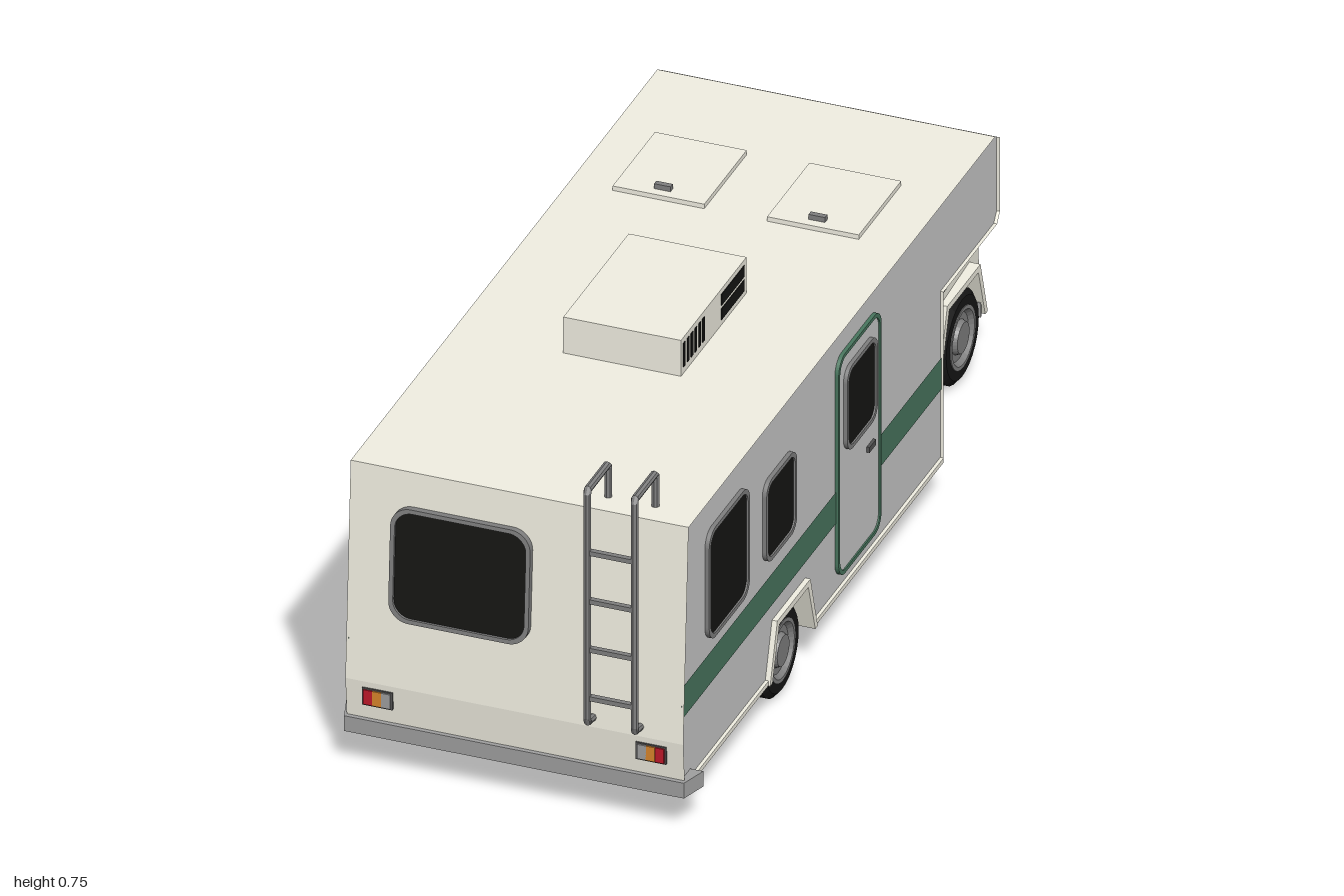
import * as THREE from 'three';

const mat = (color) => new THREE.MeshStandardMaterial({ color, side: THREE.DoubleSide, flatShading: true });
const M = {
  grey: mat(0xcccccc), cream: mat(0xf3f1e4), green: mat(0x49775f), glass: mat(0x161614), tyre: mat(0x161616),
  metal: mat(0x808080), dark: mat(0x555555), chrome: mat(0xa0a0a0), red: mat(0xc0182a), orange: mat(0xd9862b), tan: mat(0xcfae78),
};

const named = (obj, name, parent) => { obj.name = name; parent.add(obj); return obj; };
const mesh = (geo, m, name, parent) => named(new THREE.Mesh(geo, m), name, parent);

function box(name, parent, m, x0, x1, y0, y1, z0, z1) {
  const b = mesh(new THREE.BoxGeometry(Math.abs(x1 - x0), Math.abs(y1 - y0), Math.abs(z1 - z0)), m, name, parent);
  b.position.set((x0 + x1) / 2, (y0 + y1) / 2, (z0 + z1) / 2);
  return b;
}

const poly = (pts) => new THREE.Shape(pts.map(([a, b]) => new THREE.Vector2(a, b)));

// Flat convex panel from 3D corners
function panel(name, parent, m, pts) {
  const pos = [];
  for (let i = 1; i < pts.length - 1; i++) pos.push(...pts[0], ...pts[i], ...pts[i + 1]);
  const g = new THREE.BufferGeometry();
  g.setAttribute('position', new THREE.Float32BufferAttribute(pos, 3));
  g.computeVertexNormals();
  return mesh(g, m, name, parent);
}

// Outline drawn in (z, y), stood up at a given x; x may vary by a rule
function sideSheet(name, parent, m, pts, xRule) {
  const g = new THREE.ShapeGeometry(poly(pts));
  const p = g.attributes.position;
  for (let i = 0; i < p.count; i++) p.setXYZ(i, xRule(p.getX(i), p.getY(i)), p.getY(i), p.getX(i));
  g.computeVertexNormals();
  return mesh(g, m, name, parent);
}

function roundRect(w, h, r, C = THREE.Shape) {
  const s = new C(), a = w / 2, b = h / 2, q = Math.PI / 2;
  s.absarc(a - r, b - r, r, 0, q);
  s.absarc(-a + r, b - r, r, q, 2 * q);
  s.absarc(-a + r, -b + r, r, 2 * q, 3 * q);
  s.absarc(a - r, -b + r, r, 3 * q, 4 * q);
  s.closePath();
  return s;
}

// Rounded frame with a filled centre, facing +z
function framed(name, parent, w, h, r, frameMat, fillMat, edge = 0.009, depth = 0.009) {
  const g = named(new THREE.Group(), name, parent);
  const ring = roundRect(w, h, r);
  ring.holes.push(roundRect(w - 2 * edge, h - 2 * edge, r - edge * 0.6, THREE.Path));
  const opt = { depth, bevelEnabled: false, curveSegments: 6 };
  mesh(new THREE.ExtrudeGeometry(ring, opt), frameMat, 'frame', g);
  const fill = roundRect(w - 2 * edge, h - 2 * edge, r - edge * 0.6);
  mesh(new THREE.ExtrudeGeometry(fill, { ...opt, depth: depth * 0.6 }), fillMat, 'infill', g);
  return g;
}

function sideFramed(name, parent, s, x, z0, z1, y0, y1, r, frameMat, fillMat, edge, depth) {
  const g = framed(name, parent, z1 - z0, y1 - y0, r, frameMat, fillMat, edge, depth);
  g.rotation.y = s * Math.PI / 2;
  g.position.set(s * x, (y0 + y1) / 2, (z0 + z1) / 2);
}

const REAR = 0.395, FRONT = -0.845, WALL = 0.343;
// Wheel opening outline, from high z to low z
const notch = (z, b = 0.125, t = 0.087, y = 0.215) => [[z + b, 0.09], [z + t, y], [z - t, y], [z - b, 0.09]];

function wheel(parent, s, z, x0, x1) {
  const g = named(new THREE.Group(), 'wheel', parent);
  const w = x1 - x0, h = w / 2, R = 0.0975;
  const lathe = (pts) => new THREE.LatheGeometry(pts.map(([r, y]) => new THREE.Vector2(r, y)), 28);
  mesh(lathe([[0.06, -h], [R - 0.012, -h], [R, -h + 0.01], [R, h - 0.01], [R - 0.012, h], [0.066, h], [0.064, h - 0.01]]), M.tyre, 'tyre', g);
  mesh(lathe([[0, -h + 0.01], [0.06, -h + 0.01], [0.06, -h]]), M.dark, 'innerRim', g);
  mesh(lathe([[0.066, h - 0.01], [0.066, h + 0.002], [0.058, h + 0.002], [0.05, h - 0.008], [0.036, h - 0.008], [0.032, h + 0.002], [0, h + 0.002]]), M.metal, 'hub', g);
  g.rotation.z = -s * Math.PI / 2;
  g.position.set(s * (x0 + x1) / 2, R, z);
}

function wheelArch(parent, s, z, x0, x1) {
  const inner = notch(z, 0.112, 0.076, 0.202);
  const g = new THREE.ExtrudeGeometry(poly([...notch(z), ...inner.slice().reverse()]), { depth: x1 - x0, bevelEnabled: false });
  g.rotateY(-Math.PI / 2);
  mesh(g, M.cream, 'wheelArch', parent).position.x = s > 0 ? x1 : -x0;
  sideSheet('wheelWell', parent, M.cream, notch(z), () => s * x0);
}

// Bumper bar with swept ends
function bumper(name, parent, xa, za, xb, zb, y0, y1) {
  const g = new THREE.ExtrudeGeometry(poly([[-xa, -za], [xa, -za], [xb, -zb], [-xb, -zb]]), { depth: y1 - y0, bevelEnabled: false });
  g.rotateX(-Math.PI / 2);
  mesh(g, M.chrome, name, parent).position.y = y0;
}

function buildBody(root) {
  const g = named(new THREE.Group(), 'livingBody', root);
  const outline = [[0.955, 0.09], [0.965, 0.2], [0.937, 0.67], [-0.67, 0.67], [-0.695, 0.655], [-0.695, 0.49], [-0.68, 0.47], [-0.4, 0.47], [-0.4, 0.09]];
  // Roof, rear, overhang and front wall as one wrapped shell, open underneath
  for (let i = 0; i < outline.length - 1; i++) {
    const [z0, y0] = outline[i], [z1, y1] = outline[i + 1];
    panel('shellPanel', g, M.cream, [[-0.35, y0, z0], [0.35, y0, z0], [0.35, y1, z1], [-0.35, y1, z1]]);
  }
  for (const s of [1, -1]) {
    sideSheet('sideWall', g, M.grey, [...outline, ...notch(REAR).reverse()], () => s * WALL);
    sideSheet('stripe', g, M.green, [[0.958, 0.322], [0.962, 0.252], [-0.4, 0.252], [-0.4, 0.322]], () => s * (WALL + 0.002));
    box('sillTrim', g, M.cream, s * WALL, s * 0.35, 0.09, 0.1, REAR + 0.12, 0.955);
    box('sillTrim', g, M.cream, s * WALL, s * 0.35, 0.09, 0.1, -0.4, REAR - 0.12);
    wheelArch(g, s, REAR, 0.235, 0.354);
    wheel(root, s, REAR, 0.25, 0.33);
  }
  // Side windows and entry door
  sideFramed('sideWindow', g, 1, WALL, 0.62, 0.834, 0.353, 0.598, 0.035, M.metal, M.glass);
  sideFramed('sideWindow', g, 1, WALL, 0.373, 0.533, 0.363, 0.545, 0.03, M.metal, M.glass);
  sideFramed('sideWindow', g, -1, WALL, -0.275, -0.11, 0.385, 0.575, 0.03, M.metal, M.glass);
  sideFramed('entryDoor', g, 1, WALL, -0.072, 0.153, 0.125, 0.615, 0.035, M.green, M.grey, 0.008, 0.008);
  sideFramed('doorWindow', g, 1, WALL + 0.004, -0.04, 0.12, 0.39, 0.577, 0.03, M.metal, M.glass);
  box('doorHandle', g, M.dark, 0.346, 0.354, 0.328, 0.34, -0.036, -0.002);
  // Rear and overhang windows
  const rear = framed('rearWindow', g, 0.29, 0.247, 0.042, M.metal, M.glass, 0.009, 0.014);
  rear.position.set(-0.115, 0.473, 0.949);
  rear.rotation.x = -0.06;
  const front = framed('overhangWindow', g, 0.3, 0.085, 0.02, M.metal, M.glass);
  front.position.set(0, 0.57, -0.695);
  front.rotation.y = Math.PI;
  // Tail lights
  for (const s of [1, -1]) {
    const t = named(new THREE.Group(), 'tailLight', g);
    box('housing', t, M.dark, s * 0.252, s * 0.315, 0.149, 0.187, 0.945, 0.967);
    [[0.256, M.chrome], [0.274, M.orange], [0.293, M.red]].forEach(([x, m]) => box('lens', t, m, s * x, s * (x + 0.0185), 0.152, 0.184, 0.95, 0.97));
  }
  bumper('rearBumper', g, 0.352, 0.967, 0.37, 0.91, 0.082, 0.116);
}

function buildRoof(root) {
  const ac = named(new THREE.Group(), 'airConditioner', root);
  box('housing', ac, M.cream, -0.12, 0.124, 0.67, 0.75, 0.062, 0.405);
  for (let i = 0; i < 6; i++) box('ventSlot', ac, M.glass, 0.12, 0.1255, 0.685, 0.738, 0.284 + i * 0.02, 0.294 + i * 0.02);
  for (const y of [0.682, 0.714]) box('grilleSlot', ac, M.glass, 0.12, 0.1255, y, y + 0.025, 0.075, 0.195);
  for (const [x0, x1] of [[-0.26, -0.07], [0.06, 0.25]]) {
    box('roofHatch', root, M.cream, x0, x1, 0.67, 0.68, -0.43, -0.208);
    const c = (x0 + x1) / 2;
    box('hatchHandle', root, M.metal, c - 0.017, c + 0.017, 0.68, 0.691, -0.24, -0.228);
  }
  // Ladder with rails hooked over the roof edge
  const ladder = named(new THREE.Group(), 'ladder', root);
  for (const x of [0.162, 0.26]) {
    const pts = [[0.22, 0.955], [0.226, 0.992], [0.743, 0.992], [0.743, 0.883], [0.665, 0.883]].map(([y, z]) => new THREE.Vector3(x, y, z));
    const path = new THREE.CurvePath();
    for (let i = 0; i < pts.length - 1; i++) path.add(new THREE.LineCurve3(pts[i], pts[i + 1]));
    mesh(new THREE.TubeGeometry(path, 80, 0.008, 8), M.metal, 'rail', ladder);
  }
  for (const y of [0.281, 0.389, 0.497, 0.605]) box('rung', ladder, M.metal, 0.162, 0.26, y - 0.005, y + 0.005, 0.986, 0.997);
}

function buildCab(root) {
  const g = named(new THREE.Group(), 'cab', root);
  // Half width: narrows toward the nose and toward the roof
  const half = (z, y) => 0.205 - 0.05 * Math.max(0, -0.69 - z) - 0.14 * Math.max(0, y - 0.28);
  for (const s of [1, -1]) {
    const at = (off) => (z, y) => s * (half(z, y) + off);
    sideSheet('lowerSide', g, M.cream, [[-0.4, 0.09], [-0.4, 0.28], [-0.69, 0.28], [-0.69, 0.265], [-0.985, 0.225], [-0.99, 0.17], [-0.98, 0.09], ...notch(FRONT).reverse()], at(0));
    sideSheet('upperSide', g, M.cream, [[-0.4, 0.28], [-0.4, 0.47], [-0.605, 0.47], [-0.69, 0.28]], at(0));
    sideSheet('cabWindow', g, M.glass, [[-0.415, 0.292], [-0.415, 0.46], [-0.598, 0.46], [-0.674, 0.292]], at(0.003));
    box('cabDoorHandle', g, M.dark, s * 0.203, s * 0.211, 0.239, 0.25, -0.468, -0.438);
    // Hood outer slope
    panel('fenderTop', g, M.cream, [[s * 0.205, 0.265, -0.69], [s * 0.1, 0.283, -0.69], [s * 0.14, 0.238, -0.985], [s * 0.19, 0.225, -0.985]]);
    wheelArch(g, s, FRONT, 0.125, 0.216);
    wheel(root, s, FRONT, 0.135, 0.213);
    box('mirror', g, M.glass, s * 0.222, s * 0.25, 0.31, 0.375, -0.668, -0.65);
    box('mirrorArm', g, M.dark, s * 0.195, s * 0.225, 0.318, 0.326, -0.663, -0.655);
    // Headlight and turn signal
    box('headlightFrame', g, M.dark, s * 0.115, s * 0.188, 0.142, 0.208, -0.98, -0.992);
    box('headlight', g, M.chrome, s * 0.119, s * 0.162, 0.147, 0.203, -0.985, -0.995);
    box('turnSignal', g, M.orange, s * 0.165, s * 0.185, 0.147, 0.203, -0.985, -0.995);
  }
  panel('hood', g, M.cream, [[-0.1, 0.283, -0.69], [0.1, 0.283, -0.69], [0.14, 0.238, -0.985], [-0.14, 0.238, -0.985]]);
  panel('nose', g, M.cream, [[-0.19, 0.225, -0.985], [-0.14, 0.238, -0.985], [0.14, 0.238, -0.985], [0.19, 0.225, -0.985], [0.19, 0.17, -0.99], [-0.19, 0.17, -0.99]]);
  panel('noseLower', g, M.cream, [[-0.19, 0.17, -0.99], [0.19, 0.17, -0.99], [0.19, 0.09, -0.98], [-0.19, 0.09, -0.98]]);
  panel('windshieldFrame', g, M.cream, [[-0.205, 0.265, -0.69], [0.205, 0.265, -0.69], [0.205, 0.28, -0.69], [0.178, 0.47, -0.605], [-0.178, 0.47, -0.605], [-0.205, 0.28, -0.69]]);
  panel('windshield', g, M.glass, [[-0.192, 0.29, -0.689], [0.192, 0.29, -0.689], [0.169, 0.462, -0.612], [-0.169, 0.462, -0.612]]);
  // Grille with horizontal bars
  box('grille', g, M.dark, -0.1, 0.1, 0.148, 0.203, -0.98, -0.992);
  for (let i = 0; i < 3; i++) box('grilleBar', g, M.tan, -0.092, 0.092, 0.154 + i * 0.016, 0.164 + i * 0.016, -0.985, -0.995);
  bumper('frontBumper', g, 0.195, -1, 0.212, -0.945, 0.088, 0.12);
}

export function createModel() {
  const root = new THREE.Group();
  root.name = 'motorhome';
  buildBody(root);
  buildRoof(root);
  buildCab(root);
  return root;
}
